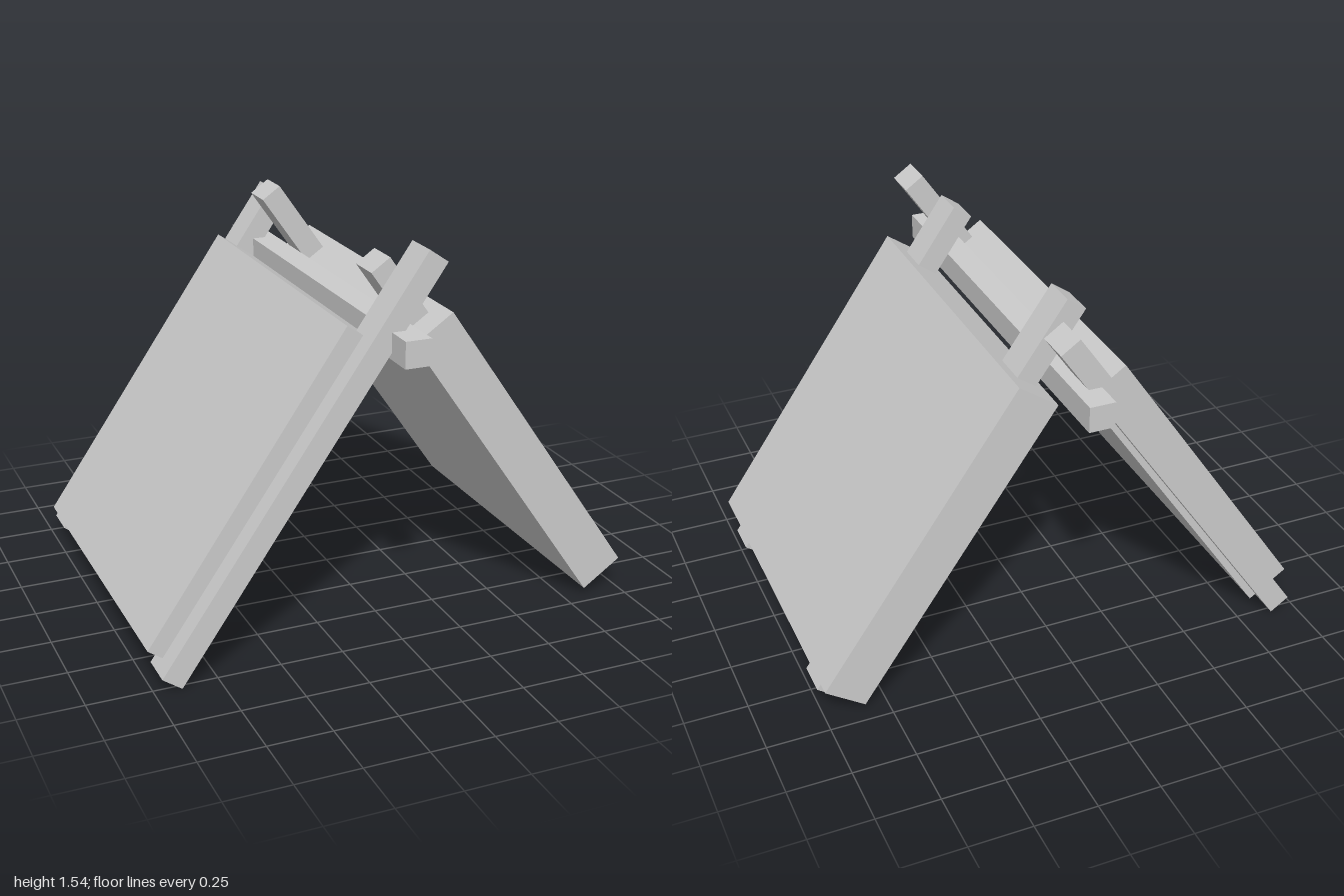
import * as THREE from 'three';

const material = new THREE.MeshStandardMaterial({ color: 0xcccccc });

// Slanted box running from (x1, y1) to (x2, y2) in the front plane
function slantedBox(name, [x1, y1], [x2, y2], thickness, depth, z) {
  const length = Math.hypot(x2 - x1, y2 - y1);
  const mesh = new THREE.Mesh(new THREE.BoxGeometry(length, thickness, depth), material);
  mesh.position.set((x1 + x2) / 2, (y1 + y2) / 2, z);
  mesh.rotation.z = Math.atan2(y2 - y1, x2 - x1);
  mesh.name = name;
  return mesh;
}

export function createModel() {
  const tent = new THREE.Group();
  tent.name = 'leanToShelter';

  // Two sloping roof slabs
  for (const [name, side] of [['leftRoofSlab', 1], ['rightRoofSlab', -1]]) {
    tent.add(slantedBox(name, [side * 0.919, 0.084], [side * 0.134, 1.226], 0.188, 1.386, 0));
  }

  // Poles inside the left slab, crossing over the ridge
  tent.add(slantedBox('leftFrontPole', [0.957, 0.034], [-0.028, 1.453], 0.091, 0.14, 0.505));
  tent.add(slantedBox('leftBackPole', [0.957, 0.034], [-0.064, 1.503], 0.091, 0.14, -0.505));

  // Poles along the edges of the right slab, crossing the other way
  tent.add(slantedBox('rightFrontPole', [-0.932, 0.032], [0.107, 1.525], 0.091, 0.144, 0.704));
  tent.add(slantedBox('rightBackPole', [-0.932, 0.032], [0.053, 1.449], 0.091, 0.144, -0.704));

  // Ridge beam resting in the crossed poles
  const ridge = new THREE.Mesh(new THREE.BoxGeometry(0.103, 0.103, 1.78), material);
  ridge.position.set(-0.023, 1.211, 0);
  ridge.name = 'ridgeBeam';
  tent.add(ridge);

  return tent;
}
